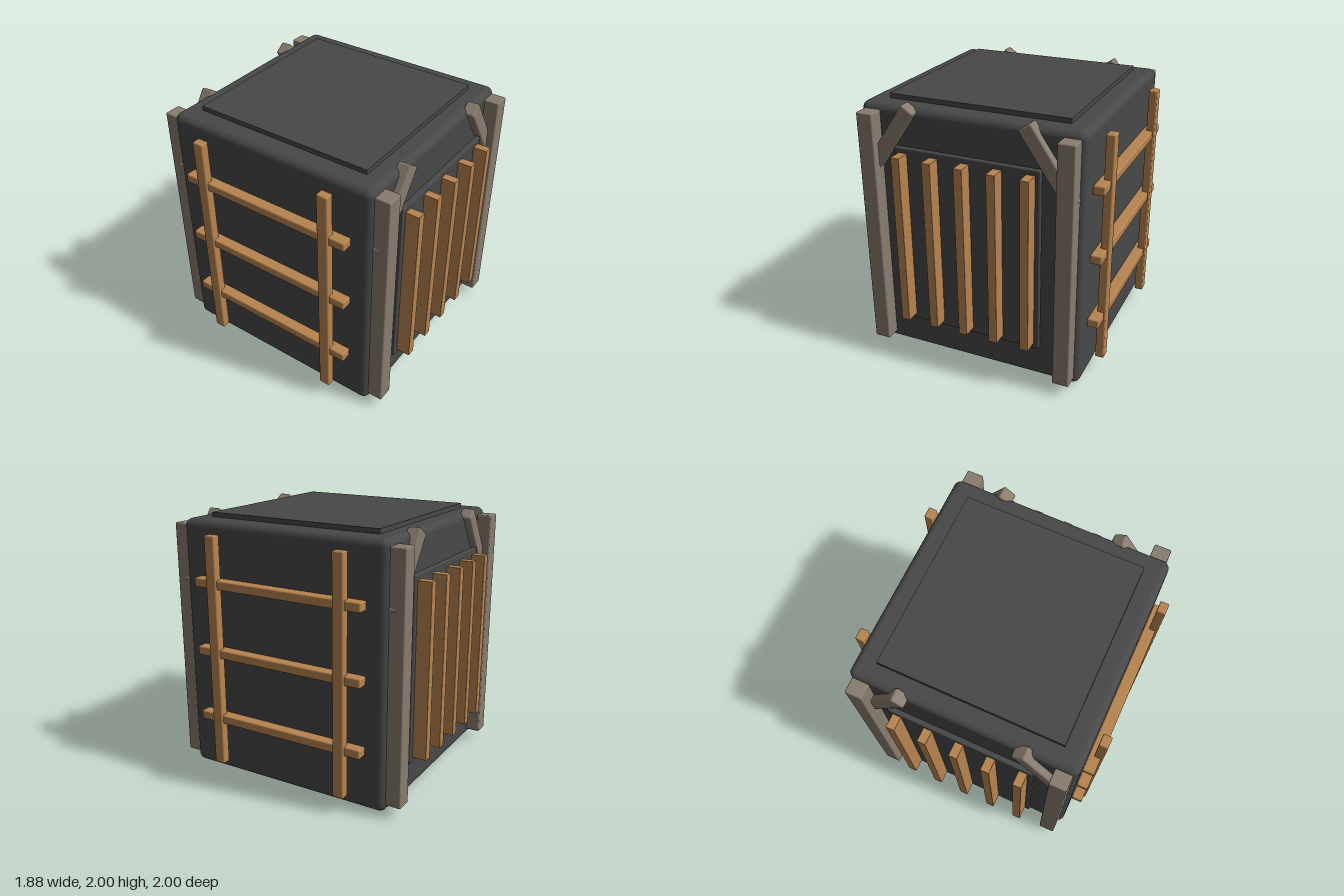
import * as THREE from 'three';
import { RoundedBoxGeometry } from 'three/addons/geometries/RoundedBoxGeometry.js';

export function createModel() {
  const model = new THREE.Group();
  model.name = 'crate';

  const material = (name, color) => {
    const m = new THREE.MeshStandardMaterial({ color });
    m.name = name;
    return m;
  };
  const charcoal = material('charcoal', 0x484848);
  const wood = material('wood', 0xb7844f);
  const greyTimber = material('grey timber', 0x887c6f);

  // Box with softened edges; radius 0 gives a sharp box
  function block(name, mat, size, pos, radius = 0.01, segments = 2) {
    const geometry = radius
      ? new RoundedBoxGeometry(...size, segments, radius)
      : new THREE.BoxGeometry(...size);
    const mesh = new THREE.Mesh(geometry, mat);
    mesh.name = name;
    mesh.position.set(...pos);
    model.add(mesh);
    return mesh;
  }

  // Main body with lid and base plates
  block('body', charcoal, [1.675, 1.93, 1.675], [0, 1, 0], 0.055, 4);
  block('lidPlate', charcoal, [1.36, 0.06, 1.39], [0, 1.97, 0], 0);
  block('basePlate', charcoal, [1.36, 0.06, 1.39], [0, 0.03, 0], 0);

  // Front and back are alike
  for (const z of [1, -1]) {
    block('panel', charcoal, [1.1, 1.38, 0.04], [0, 1, z * 0.875], 0.01);
    for (const x of [-0.48, -0.24, 0, 0.24, 0.48]) {
      block('slat', wood, [0.065, 1.3, 0.12], [x, 1, z * 0.94], 0.003, 1);
    }
    for (const x of [1, -1]) {
      block('cornerPost', greyTimber, [0.125, 1.83, 0.12], [x * 0.74, 1.005, z * 0.888], 0.01);
      const brace = block('cornerBrace', greyTimber, [0.11, 0.6, 0.1], [x * 0.598, 1.72, z * 0.842], 0.015, 1);
      brace.rotation.z = x * 0.6;
    }
  }

  // Ladder frames on the left and right
  for (const x of [1, -1]) {
    for (const z of [0.525, -0.525]) {
      block('ladderRail', wood, [0.066, 1.755, 0.086], [x * 0.905, 1.003, z], 0.01);
    }
    for (const y of [0.488, 1.005, 1.525]) {
      block('ladderRung', wood, [0.085, 0.068, 1.375], [x * 0.88, y, 0], 0.01);
    }
  }

  return model;
}
